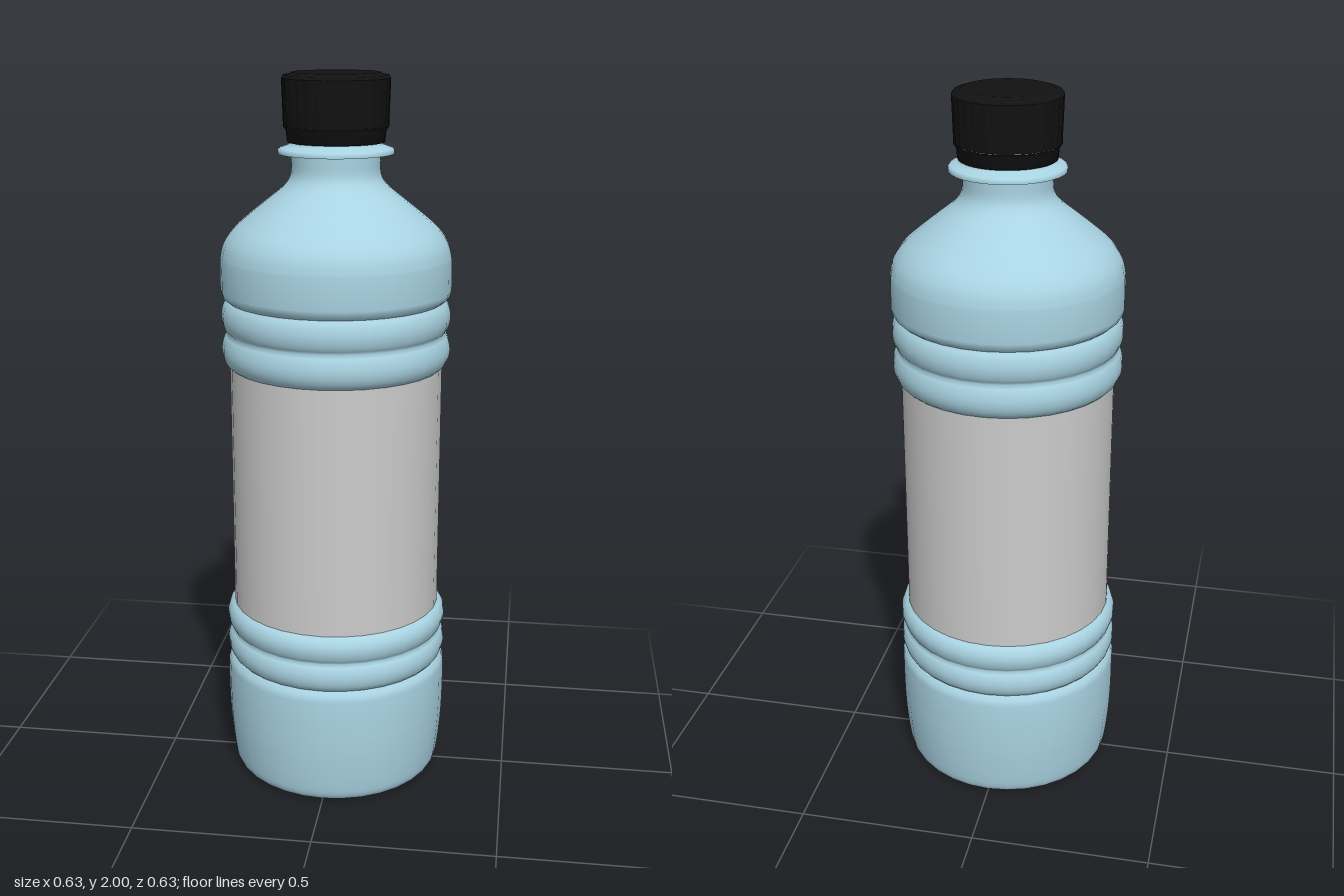
import * as THREE from 'three';

const SIDES = 32;

// Surface of revolution from [radius, height] pairs listed bottom to top
function lathe(name, points, material, sides = SIDES) {
  const profile = points.map(([r, y]) => new THREE.Vector2(r, y));
  const mesh = new THREE.Mesh(new THREE.LatheGeometry(profile, sides), material);
  mesh.name = name;
  return mesh;
}

// Smooth curve through a few profile points
function smooth(points, count) {
  const curve = new THREE.SplineCurve(points.map(([r, y]) => new THREE.Vector2(r, y)));
  return curve.getPoints(count).map((p) => [Math.max(p.x, 0), p.y]);
}

// Rounded bulge between two grooves
function rib(y0, y1, r0 = 0.3, r1 = 0.3) {
  const points = [];
  for (let i = 0; i <= 10; i++) {
    const t = i / 10;
    const base = r0 + (r1 - r0) * t;
    const bulge = Math.pow(Math.max(Math.sin(Math.PI * t), 0), 0.65);
    points.push([base + (0.316 - base) * bulge, y0 + (y1 - y0) * t]);
  }
  return points;
}

export function createModel() {
  const bottle = new THREE.Group();
  bottle.name = 'bottle';
  const plastic = new THREE.MeshStandardMaterial({ color: 0xa9d3e2, side: THREE.DoubleSide });
  const black = new THREE.MeshStandardMaterial({ color: 0x111111, side: THREE.DoubleSide });
  const grey = new THREE.MeshStandardMaterial({ color: 0xcccccc, side: THREE.DoubleSide });

  // Base with a pushed-in centre, rising to the first groove
  bottle.add(lathe('base', [
    ...smooth([[0, 0.085], [0.03, 0.08], [0.07, 0.05], [0.14, 0.025], [0.22, 0.008], [0.27, 0.0],
      [0.295, 0.015], [0.305, 0.06], [0.313, 0.14], [0.316, 0.2]], 36),
    [0.317, 0.25], [0.317, 0.32], [0.312, 0.338], [0.3, 0.35],
  ], plastic));

  // Ribs below and above the label
  bottle.add(lathe('lowerRibs', [...rib(0.35, 0.432), ...rib(0.432, 0.515, 0.3, 0.292).slice(1)], plastic));
  bottle.add(lathe('upperRibs', [...rib(1.21, 1.308, 0.292, 0.3), ...rib(1.308, 1.398).slice(1)], plastic));

  // Label wrapped around the recessed waist
  bottle.add(lathe('label', [[0.295, 0.51], [0.295, 1.215]], grey));

  // Shoulder narrowing into the neck
  bottle.add(lathe('shoulder', [
    [0.3, 1.398], [0.312, 1.408], [0.317, 1.425], [0.317, 1.48],
    ...smooth([[0.316, 1.51], [0.306, 1.55], [0.28, 1.588], [0.235, 1.628], [0.18, 1.672],
      [0.14, 1.705], [0.122, 1.735], [0.12, 1.775], [0.12, 1.79]], 28),
  ], plastic));

  // Collar under the cap
  bottle.add(lathe('collarUnderside', [[0.12, 1.788], [0.157, 1.79]], plastic));
  bottle.add(lathe('collar', smooth([[0.157, 1.79], [0.155, 1.802], [0.14, 1.808], [0.124, 1.816], [0.12, 1.84]], 10), plastic));

  // Cap: knurled skirt, tamper band and slightly stepped top
  const cap = new THREE.Group();
  cap.name = 'cap';
  const skirt = lathe('capSkirt', [[0.141, 1.862], [0.145, 1.985]], black, 120);
  const pos = skirt.geometry.attributes.position;
  for (let i = 0; i < pos.count; i++) {
    const column = Math.floor(i / 2) % 120;
    const scale = column % 4 < 2 ? 1 : 0.985;
    pos.setX(i, pos.getX(i) * scale);
    pos.setZ(i, pos.getZ(i) * scale);
  }
  skirt.geometry.computeVertexNormals();
  cap.add(skirt);
  cap.add(lathe('capBand', [[0.12, 1.82], [0.131, 1.82], [0.134, 1.85], [0.142, 1.862]], black, 48));
  cap.add(lathe('capRim', [[0.145, 1.985], [0.14, 1.993], [0.124, 1.995], [0.118, 2.0]], black, 48));
  cap.add(lathe('capTop', [[0.118, 2.0], [0, 2.0]], black, 48));
  bottle.add(cap);

  return bottle;
}
